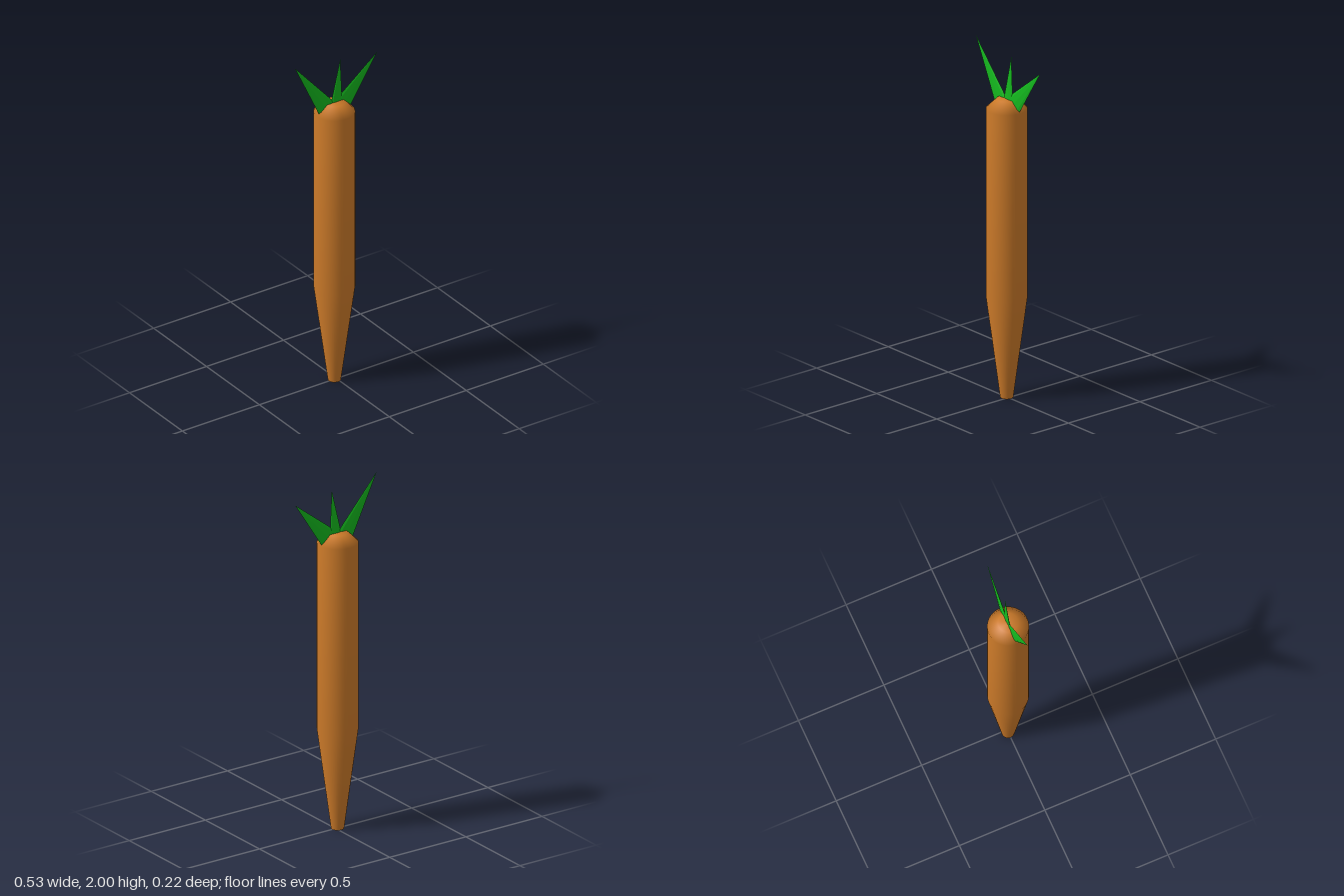
import * as THREE from 'three';

// Thin cone spanning a slanted base edge (left to right) and rising to a tip
function makeLeaf(name, left, right, tip, material) {
  const a = new THREE.Vector2(...left);
  const b = new THREE.Vector2(...right);
  const mid = a.clone().add(b).multiplyScalar(0.5);
  const half = b.sub(a).multiplyScalar(0.5);
  const rise = new THREE.Vector2(...tip).sub(mid);
  const geometry = new THREE.ConeGeometry(1, 1, 8).translate(0, 0.5, 0);
  geometry.applyMatrix4(new THREE.Matrix4().set(
    half.x, rise.x, 0, mid.x,
    half.y, rise.y, 0, mid.y,
    0, 0, 0.008, 0,
    0, 0, 0, 1
  ));
  const leaf = new THREE.Mesh(geometry, material);
  leaf.name = name;
  return leaf;
}

export function createModel() {
  const group = new THREE.Group();
  group.name = 'carrot';
  const orange = new THREE.MeshStandardMaterial({ color: 0xcc7a29 });
  const green = new THREE.MeshStandardMaterial({ color: 0x14b81e, flatShading: true });

  // Root: blunt tip, long taper, straight body and bevelled crown
  const profile = [[0, 0], [0.035, 0], [0.112, 0.58], [0.112, 1.655], [0.055, 1.71], [0, 1.71]];
  const root = new THREE.Mesh(
    new THREE.LatheGeometry(profile.map(([r, y]) => new THREE.Vector2(r, y)), 48),
    orange
  );
  root.name = 'root';
  root.position.x = -0.013;
  group.add(root);

  // Three flat leaves fanned across the crown
  group.add(
    makeLeaf('rightLeaf', [-0.11, 1.66], [-0.02, 1.718], [-0.27, 2.0], green),
    makeLeaf('middleLeaf', [-0.04, 1.69], [0.038, 1.69], [0.025, 1.96], green),
    makeLeaf('leftLeaf', [-0.015, 1.712], [0.09, 1.655], [0.265, 1.93], green)
  );
  return group;
}
